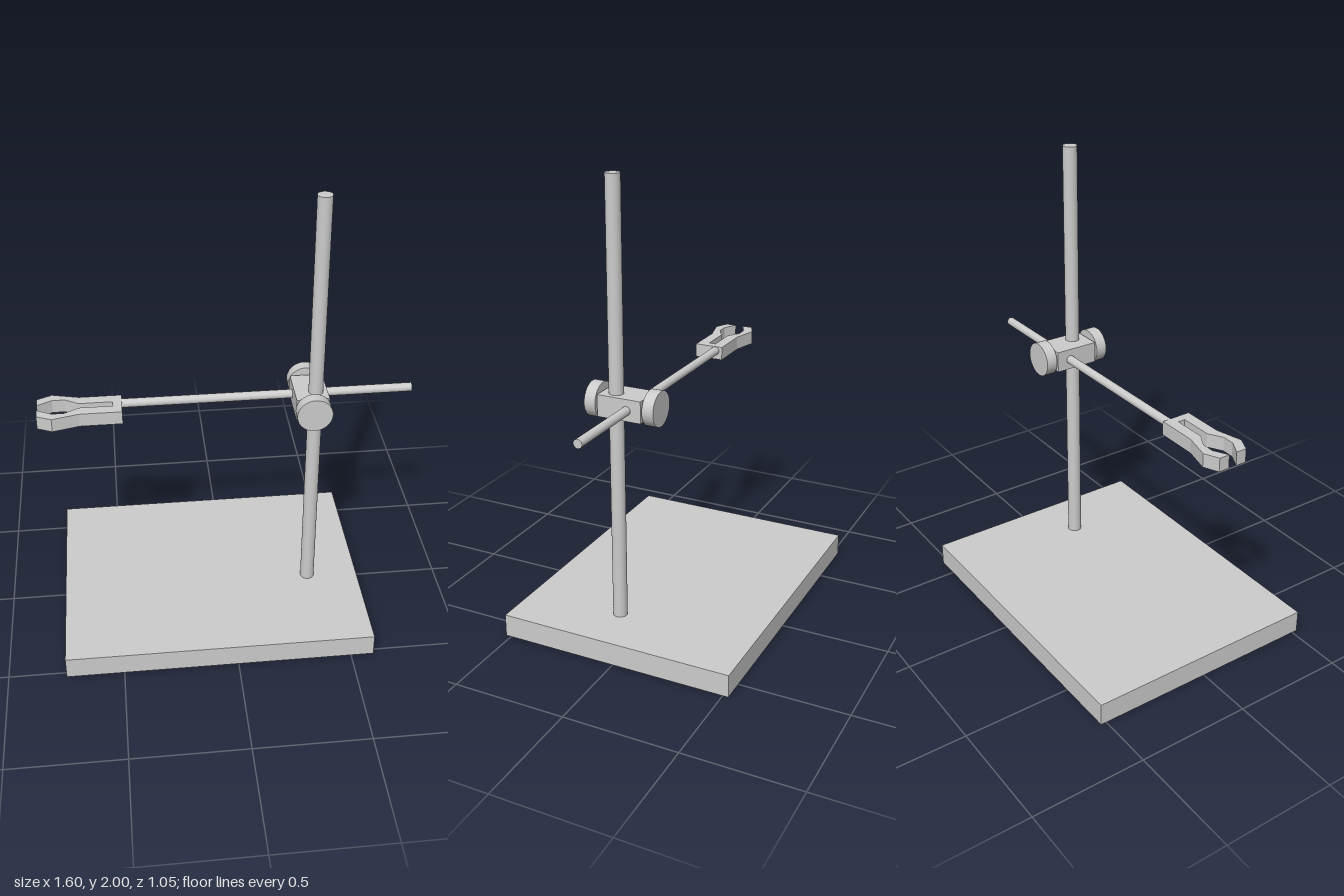
import * as THREE from 'three';

export function createModel() {
  const group = new THREE.Group();
  const material = new THREE.MeshStandardMaterial({ color: 0xcccccc });

  function add(name, geometry, x = 0, y = 0, z = 0) {
    const mesh = new THREE.Mesh(geometry, material);
    mesh.name = name;
    mesh.position.set(x, y, z);
    group.add(mesh);
    return mesh;
  }
  const cylinder = (radius, length) => new THREE.CylinderGeometry(radius, radius, length, 40);

  // Base plate and upright post
  add('base', new THREE.BoxGeometry(1.35, 0.1, 1.05), -0.075, 0.05, 0);
  add('post', cylinder(0.031, 1.9), 0.37, 1.05, 0.085);

  // Horizontal arm
  add('arm', cylinder(0.019, 1.25).rotateZ(Math.PI / 2), 0.175, 1.065, 0.015);

  // Clamp block joining post and arm, with a thumb screw at front and back
  add('clampBlock', new THREE.BoxGeometry(0.14, 0.094, 0.196), 0.35, 1.067, 0.049);
  for (const [side, label] of [[1, 'front'], [-1, 'back']]) {
    const z = 0.049 + side * 0.131;
    add(label + 'ScrewKnob', cylinder(0.075, 0.05).rotateX(Math.PI / 2), 0.35, 1.07, z);
    add(label + 'ScrewStem', cylinder(0.03, 0.06).rotateX(Math.PI / 2), 0.35, 1.07, z - side * 0.035);
  }

  // Forked gripper: one jaw's outline as [x, distance from the centre line], mirrored
  const half = [
    [-0.445, 0.065], [-0.624, 0.065], [-0.737, 0.094], [-0.8, 0.065], [-0.8, 0.018],
    [-0.737, 0.051], [-0.685, 0.051], [-0.624, 0.016], [-0.483, 0.016],
  ];
  const outline = [
    ...half.map(([x, d]) => new THREE.Vector2(x, d)),
    ...half.slice().reverse().map(([x, d]) => new THREE.Vector2(x, -d)),
  ];
  const gripper = new THREE.ExtrudeGeometry(new THREE.Shape(outline), { depth: 0.06, bevelEnabled: false });
  gripper.rotateX(-Math.PI / 2);
  add('gripper', gripper, 0, 1.025, 0.047);

  return group;
}
